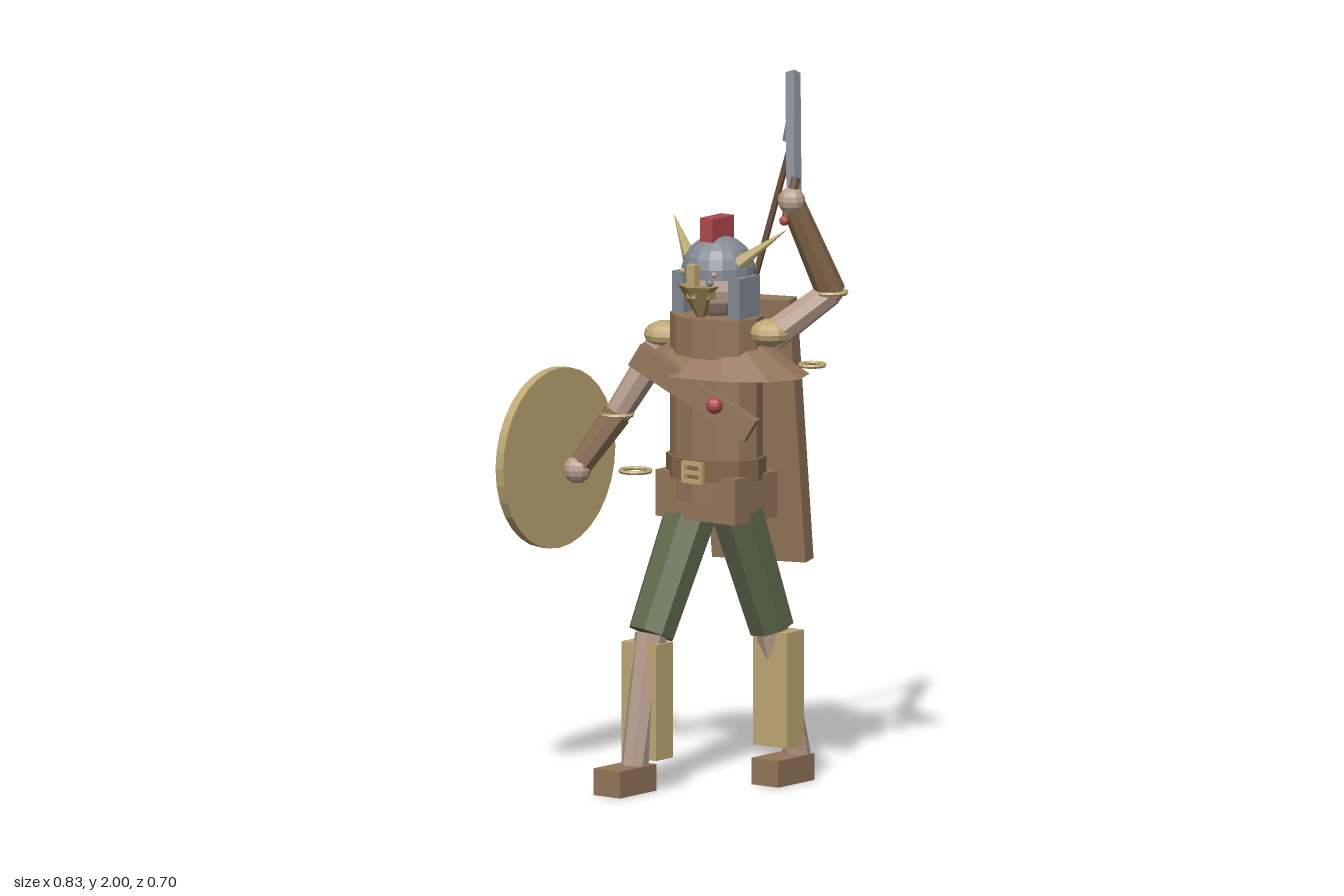
import * as THREE from 'three';

const mat = (name, color) => {
  const m = new THREE.MeshStandardMaterial({ color });
  m.name = name;
  return m;
};
const V = (a) => new THREE.Vector3(...a);

export function createModel() {
  const root = new THREE.Group();
  root.name = 'warrior';
  const leather = mat('leather brown', 0x94765a);
  const darkWood = mat('dark wood', 0x70583c);
  const gold = mat('dull gold', 0xbfa873);
  const skin = mat('skin', 0xb89e8e);
  const green = mat('trouser green', 0x606a4c);
  const steel = mat('steel', 0x838a93);
  const red = mat('red', 0xaf4a4d);
  const beardTan = mat('beard tan', 0xa58a58);
  const bracer = mat('bracer brown', 0x82674a);
  leather.side = THREE.DoubleSide;

  // Faceted mesh helper
  const add = (name, geo, material, pos = [0, 0, 0], parent = root) => {
    const flat = geo.index ? geo.toNonIndexed() : geo;
    flat.computeVertexNormals();
    const m = new THREE.Mesh(flat, material);
    m.name = name;
    m.position.set(...pos);
    parent.add(m);
    return m;
  };
  const box = (name, material, size, pos, parent) =>
    add(name, new THREE.BoxGeometry(...size), material, pos, parent);
  const ball = (name, material, r, pos, parent) =>
    add(name, new THREE.SphereGeometry(r, 12, 8), material, pos, parent);
  // Tapered limb or rod running from a to b
  const rod = (name, material, a, b, r0, r1, sides = 8) => {
    const p = V(a), q = V(b), d = q.clone().sub(p);
    const m = add(name, new THREE.CylinderGeometry(r1, r0, d.length(), sides), material);
    m.position.copy(p.add(q).multiplyScalar(0.5));
    m.quaternion.setFromUnitVectors(V([0, 1, 0]), d.normalize());
    return m;
  };
  const ring = (name, pos, r, tube) =>
    add(name, new THREE.TorusGeometry(r, tube, 6, 16).rotateX(Math.PI / 2), gold, pos);

  // Torso, hips, belt and shoulder mantle
  const cx = 0.06, cz = -0.1;
  add('torso', new THREE.CylinderGeometry(0.14, 0.14, 0.52, 12).scale(1, 1, 0.78), leather, [cx, 1.065, cz]);
  box('hips', leather, [0.28, 0.13, 0.19], [cx, 0.82, cz]);
  add('belt', new THREE.CylinderGeometry(0.148, 0.148, 0.06, 12).scale(1, 1, 0.84), bracer, [cx, 0.9, cz]);
  for (const y of [-0.025, 0.025]) box('buckleBar', gold, [0.07, 0.011, 0.012], [0.078, 0.897 + y, 0.03]);
  for (const x of [-0.03, 0.03]) box('buckleSide', gold, [0.012, 0.05, 0.012], [0.078 + x, 0.897, 0.03]);
  box('buckleTongue', gold, [0.06, 0.01, 0.012], [0.085, 0.897, 0.034]);
  add('mantle', new THREE.CylinderGeometry(0.14, 0.28, 0.08, 12, 1, true).scale(1, 1, 0.67), leather, [0.055, 1.205, -0.122]);

  // Diagonal chest strap and brooch
  const strapX = V([0.31, -0.2, -0.12]).normalize();
  const strapZ = V([0.36, 0, 0.93]).normalize();
  const strapY = strapZ.clone().cross(strapX).normalize();
  const strap = box('chestStrap', leather, [0.39, 0.07, 0.04], [0.07, 1.12, 0.015]);
  strap.quaternion.setFromRotationMatrix(
    new THREE.Matrix4().makeBasis(strapX, strapY, strapX.clone().cross(strapY)));
  ball('brooch', red, 0.024, [0.14, 1.09, 0.012]);

  // Stiff cloak on the back
  box('cloak', leather, [0.29, 0.75, 0.05], [0.065, 0.985, -0.265]).rotation.set(0.1, 0.2, 0);

  // Head and helmet
  ball('head', skin, 0.088, [cx, 1.4, cz]);
  add('beard', new THREE.ConeGeometry(0.065, 0.11, 6).rotateX(Math.PI), beardTan, [cx, 1.36, -0.03]);
  box('moustache', beardTan, [0.1, 0.018, 0.025], [cx, 1.39, -0.018]);
  for (const s of [-1, 1]) ball('eye', steel, 0.011, [cx + s * 0.035, 1.425, -0.025]);
  add('helmetDome', new THREE.SphereGeometry(0.104, 16, 6, 0, Math.PI * 2, 0, Math.PI * 0.53), steel, [cx, 1.442, -0.108]);
  add('helmetUnderside', new THREE.CircleGeometry(0.103, 16).rotateX(Math.PI / 2), steel, [cx, 1.433, -0.108]);
  box('crest', red, [0.044, 0.075, 0.097], [0.058, 1.56, -0.105]);
  box('noseGuard', gold, [0.028, 0.095, 0.022], [cx, 1.43, 0.006]);
  for (const s of [-1, 1]) {
    box('cheekGuard', steel, [0.04, 0.115, 0.093], [cx + s * 0.098, 1.382, -0.098]);
    rod('horn', gold, [cx + s * 0.085, 1.475, -0.088], [cx + s * 0.197, 1.572, -0.163], 0.02, 0.001);
    for (const z of [-1, 1]) ball('rivet', gold, 0.008, [cx + s * 0.055, 1.45, -0.108 + z * 0.09]);
  }

  // Arms: shoulder, elbow, hand
  const arms = [
    { side: 'right', s: [-0.125, 1.235, -0.105], e: [-0.235, 1.02, -0.03], h: [-0.303, 0.87, 0.062] },
    { side: 'left', s: [0.237, 1.275, -0.118], e: [0.365, 1.4, -0.225], h: [0.307, 1.665, -0.122] },
  ];
  for (const { side, s, e, h } of arms) {
    rod(side + 'UpperArm', skin, s, e, 0.044, 0.037);
    rod(side + 'Forearm', bracer, e, h, 0.042, 0.034);
    ball(side + 'Elbow', skin, 0.034, e);
    ball(side + 'Hand', skin, 0.039, h);
    ball(side + 'Pauldron', gold, 0.059, [s[0], s[1] + 0.012, s[2]]).scale.y = 0.66;
    ring(side + 'ElbowRing', e, 0.042, 0.007);
  }
  // Loose arm rings
  ring('hipRing', [-0.178, 0.866, -0.04], 0.042, 0.006);
  ring('shoulderRing', [0.303, 1.19, -0.22], 0.034, 0.006);

  // Sword
  rod('swordGrip', darkWood, [0.302, 1.61, -0.1], [0.316, 1.73, -0.13], 0.013, 0.013);
  ball('swordPommel', red, 0.014, [0.302, 1.612, -0.095]);
  const a = V([0.305, 1.69, -0.135]), b = V([0.176, 1.988, -0.296]);
  const blade = box('swordBlade', steel, [0.03, a.distanceTo(b), 0.03], [0, 0, 0]);
  blade.position.copy(a).lerp(b, 0.5);
  blade.quaternion.setFromUnitVectors(V([0, 1, 0]), b.sub(a).normalize());

  // Spear slung behind the back
  rod('spearShaft', darkWood, [-0.068, 1.065, -0.3], [0.14, 1.77, -0.33], 0.009, 0.009, 6);
  add('spearHead', new THREE.ConeGeometry(0.022, 0.118, 6), steel, [0.142, 1.848, -0.327]);

  // Legs: hip, knee, ankle, greave and boot
  const legs = [
    { side: 'right', hip: [-0.01, 0.78, -0.085], knee: [-0.045, 0.435, 0.06], ankle: [-0.055, 0.07, 0.122],
      greave: [-0.055, 0.25, 0.064], boot: [-0.057, 0.0375, 0.163] },
    { side: 'left', hip: [0.13, 0.78, -0.1], knee: [0.157, 0.44, -0.222], ankle: [0.188, 0.07, -0.3],
      greave: [0.172, 0.268, -0.236], boot: [0.18, 0.0375, -0.246] },
  ];
  for (const { side, hip, knee, ankle, greave, boot } of legs) {
    rod(side + 'Thigh', green, hip, knee, 0.077, 0.067);
    rod(side + 'Shin', skin, knee, ankle, 0.046, 0.038);
    box(side + 'Greave', gold, [0.12, 0.325, 0.078], greave);
    box(side + 'Boot', leather, [0.094, 0.075, 0.164], boot);
  }

  // Round shield; local +y is its outer face, turned to -x
  const shield = new THREE.Group();
  shield.name = 'shield';
  shield.position.set(-0.354, 0.903, 0.095);
  shield.rotation.z = Math.PI / 2;
  root.add(shield);
  const disc = (name, material, r, h, y) =>
    add(name, new THREE.CylinderGeometry(r, r, h, 32), material, [0, y, 0], shield);
  disc('shieldBoard', gold, 0.253, 0.027, 0);
  disc('shieldRedField', red, 0.19, 0.006, 0.015);
  disc('shieldBossPlate', gold, 0.072, 0.016, 0.02);
  disc('shieldBossField', red, 0.048, 0.004, 0.029);
  disc('shieldBossCentre', gold, 0.034, 0.008, 0.03);
  ball('shieldBoss', red, 0.021, [0, 0.04, 0], shield);
  for (let i = 0; i < 8; i++) {
    const t = (i * Math.PI) / 4;
    const panel = box('shieldPanel', steel, [0.052, 0.01, 0.085], [Math.cos(t) * 0.14, 0.019, Math.sin(t) * 0.14], shield);
    panel.rotation.y = -t;
  }
  return root;
}
